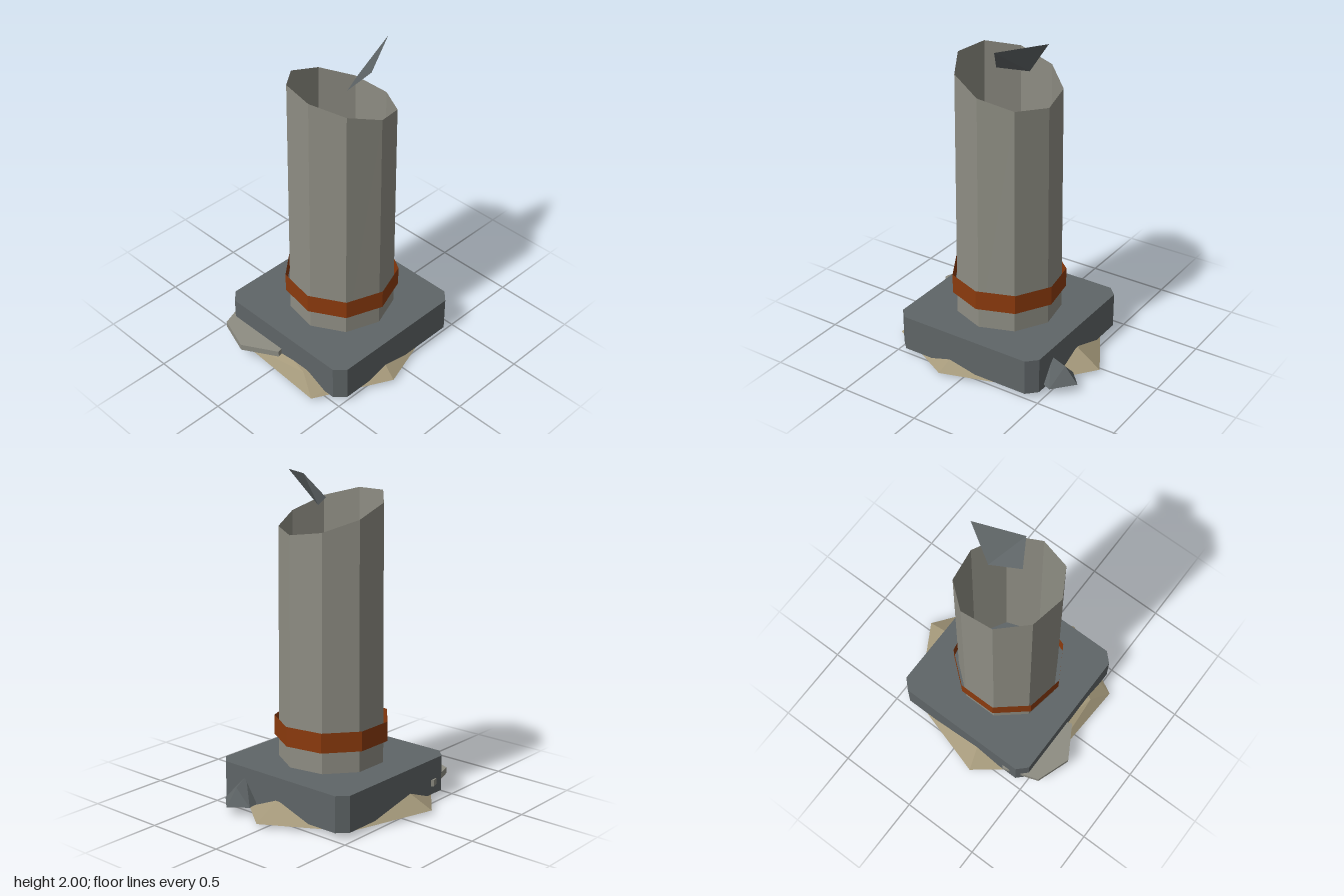
import * as THREE from 'three';
import { ConvexGeometry } from 'three/addons/geometries/ConvexGeometry.js';

const mat = (name, color, side = THREE.FrontSide) =>
  new THREE.MeshStandardMaterial({ name, color, side, flatShading: true });

// Horizontal plate from a plan outline of [x, z] points
function plate(points, y0, y1) {
  const shape = new THREE.Shape(points.map(([x, z]) => new THREE.Vector2(x, -z)));
  const geo = new THREE.ExtrudeGeometry(shape, { depth: y1 - y0, bevelEnabled: false });
  return geo.rotateX(-Math.PI / 2).translate(0, y0, 0);
}

function fromTriangles(points) {
  const geo = new THREE.BufferGeometry().setFromPoints(points);
  geo.computeVertexNormals();
  return geo;
}

export function createModel() {
  const group = new THREE.Group();
  const stone = mat('pale stone', 0x8e8d83, THREE.DoubleSide);
  const slate = mat('dark slate', 0x5f6567, THREE.DoubleSide);
  const rust = mat('rust', 0x8b3a0d, THREE.DoubleSide);
  const sand = mat('sand', 0xa4987a);
  const add = (name, geo, material) => {
    const mesh = new THREE.Mesh(geo, material);
    mesh.name = name;
    group.add(mesh);
    return mesh;
  };
  const v = (x, y, z) => new THREE.Vector3(x, y, z);
  const cx = -0.01, cz = 0.03;

  // Hollow nine-sided column, its top cut on a slant
  const column = new THREE.CylinderGeometry(0.309, 0.32, 1, 9, 1, true);
  const p = column.attributes.position;
  for (let i = 0; i < p.count; i++) {
    p.setY(i, p.getY(i) > 0 ? 1.735 - 0.33 * p.getX(i) - 0.1 * p.getZ(i) : 0.2);
  }
  column.translate(cx, 0, cz);
  column.computeVertexNormals();
  add('column', column, stone);

  // Open hoop around the column
  add('band', new THREE.CylinderGeometry(0.345, 0.345, 0.12, 9, 1, true).translate(cx, 0.45, cz), rust);

  // Square base with clipped corners
  const x0 = -0.495, x1 = 0.475, z0 = -0.465, z1 = 0.505, c = 0.06;
  add('base', plate([
    [x0 + c, z0], [x1 - c, z0], [x1, z0 + c], [x1, z1 - c],
    [x1 - c, z1], [x0 + c, z1], [x0, z1 - c], [x0, z0 + c],
  ], 0.035, 0.255), slate);

  // Seven-sided mound under the base: outer rim, raised ring, low top
  const rim = [[0.64, 0.04], [0.33, 0.445], [-0.13, 0.59], [-0.585, 0.355],
    [-0.55, -0.3], [-0.17, -0.595], [0.37, -0.435]];
  const outer = rim.map(([x, z]) => v(x, 0.02, z));
  const inner = rim.map(([x, z], i) => (i === 3 ? v(-0.52, 0.1, 0.225) : v(x * 0.76, 0.11, z * 0.76)));
  const top = v(0, 0.16, 0), bottom = v(0, 0.02, 0);
  const tris = [];
  outer.forEach((o, i) => {
    const j = (i + 1) % outer.length;
    tris.push(o, inner[i], outer[j], outer[j], inner[i], inner[j],
      inner[i], top, inner[j], o, outer[j], bottom);
  });
  add('mound', fromTriangles(tris), sand);

  // Flat broken slab stuck into the side of the base
  add('slab', plate([[-0.57, -0.405], [-0.345, -0.48], [-0.2, -0.3], [-0.28, -0.05],
    [-0.525, 0.015], [-0.645, -0.19]], 0.088, 0.127), stone);

  // Loose rock beside the base
  add('rock', new ConvexGeometry([
    v(0.46, 0.195, 0.295), v(0.55, 0.15, 0.285), v(0.635, 0.055, 0.285),
    v(0.545, 0.05, 0.185), v(0.52, 0.05, 0.408), v(0.46, 0, 0.3),
    v(0.38, 0.05, 0.29), v(0.45, 0.05, 0.2), v(0.46, 0.06, 0.39),
  ]), slate);

  // Thin shard floating above the column
  const a = v(-0.04, 1.8, 0.105), b = v(0.125, 1.785, 0.02), d = v(0.29, 2, 0.09), e = v(0.025, 1.935, 0.22);
  add('shard', fromTriangles([a, e, b, b, e, d]), slate);

  return group;
}
